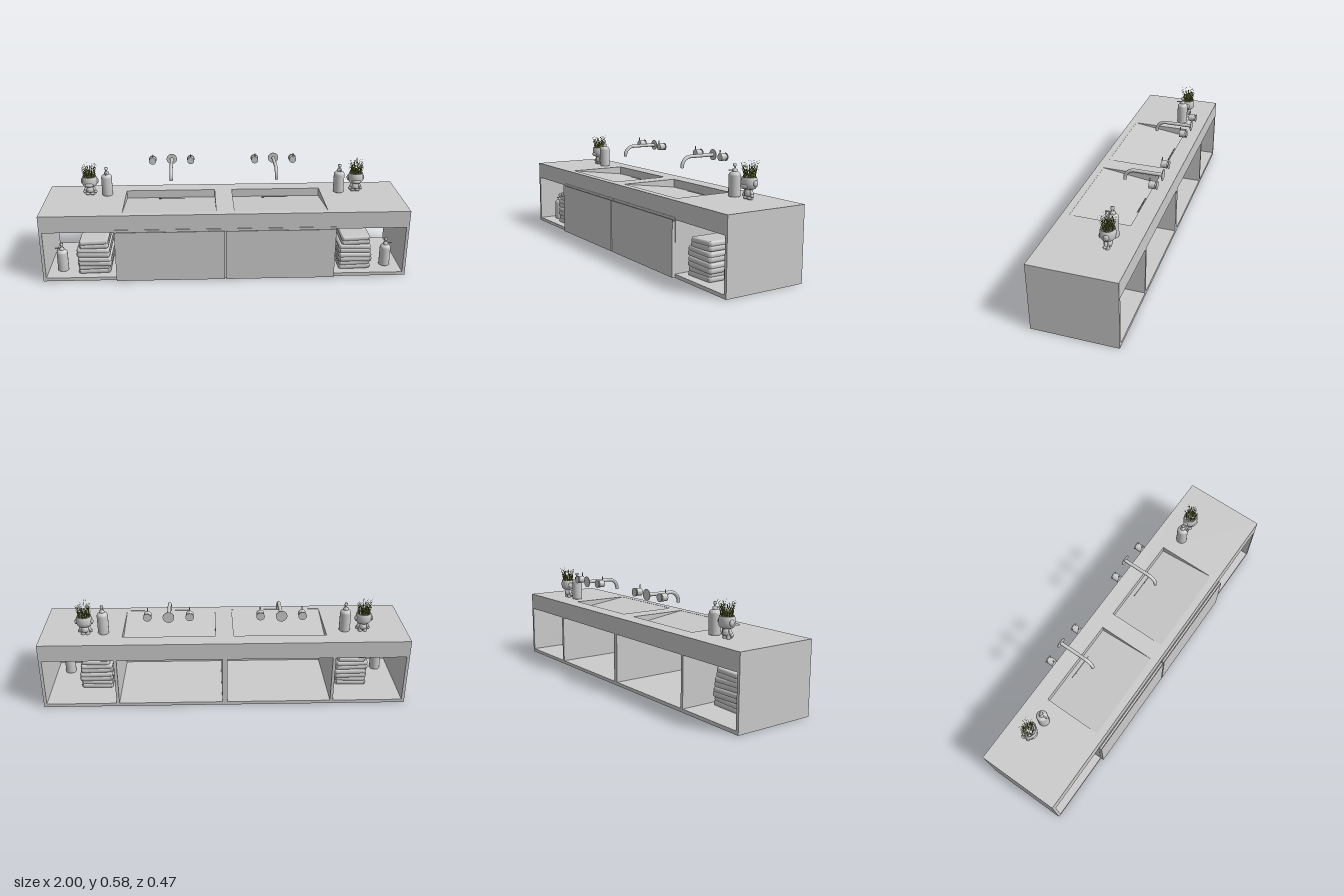
import * as THREE from 'three';
import { mergeGeometries } from 'three/addons/utils/BufferGeometryUtils.js';
import { RoundedBoxGeometry } from 'three/addons/geometries/RoundedBoxGeometry.js';

const grey = new THREE.MeshStandardMaterial({ color: 0xcccccc });
const greyDouble = new THREE.MeshStandardMaterial({ color: 0xcccccc, side: THREE.DoubleSide });
const green = new THREE.MeshStandardMaterial({ color: 0x76803a, side: THREE.DoubleSide });
const dark = new THREE.MeshStandardMaterial({ color: 0x555555 });

function add(parent, name, geometry, x = 0, y = 0, z = 0, material = grey) {
  const mesh = new THREE.Mesh(geometry, material);
  mesh.name = name;
  mesh.position.set(x, y, z);
  parent.add(mesh);
  return mesh;
}

// Box given by its min and max corners
function span(parent, name, x0, x1, y0, y1, z0, z1, material) {
  return add(parent, name, new THREE.BoxGeometry(x1 - x0, y1 - y0, z1 - z0),
    (x0 + x1) / 2, (y0 + y1) / 2, (z0 + z1) / 2, material);
}

const points = (list) => list.map(([x, y]) => new THREE.Vector2(x, y));
const lathe = (list, segments = 28) => new THREE.LatheGeometry(points(list), segments);

// Side profile (z, y) extruded along x, centred on x = 0
function alongX(profile, width) {
  const g = new THREE.ExtrudeGeometry(new THREE.Shape(points(profile)), { depth: width, bevelEnabled: false });
  return g.rotateY(-Math.PI / 2).translate(width / 2, 0, 0);
}

// Cylinder whose axis runs along z
const zCylinder = (r, length) => new THREE.CylinderGeometry(r, r, length, 28).rotateX(Math.PI / 2);

const BACK = -0.235, FRONT = 0.22, TOP = 0.385;
const BASIN = { x: 0.302, w: 0.505, back: -0.145, front: 0.18, floor: 0.34 };

function createCabinet() {
  const g = new THREE.Group();
  g.name = 'cabinet';
  span(g, 'bottomPanel', -1, 1, 0.001, 0.02, BACK, FRONT);
  span(g, 'middleDivider', -0.014, 0.014, 0.02, 0.29, BACK, FRONT);
  for (const s of [-1, 1]) {
    add(g, 'sidePanel', new THREE.BoxGeometry(0.016, 0.27, FRONT - BACK), s * 0.992, 0.155, (FRONT + BACK) / 2);
    add(g, 'divider', new THREE.BoxGeometry(0.016, 0.27, FRONT - BACK), s * 0.592, 0.155, (FRONT + BACK) / 2);
    // Drawer front with a finger groove along its top edge
    add(g, 'drawerFront', alongX([[0.22, 0.004], [0.237, 0.004], [0.237, 0.293], [0.233, 0.293],
      [0.233, 0.283], [0.223, 0.283], [0.223, 0.302], [0.22, 0.302]], 0.595), s * 0.301);
  }
  return g;
}

function createCountertop() {
  const g = new THREE.Group();
  g.name = 'countertop';
  const rect = (x0, x1, y0, y1) => points([[x0, y0], [x1, y0], [x1, y1], [x0, y1]]);
  const shape = new THREE.Shape(rect(-1, 1, -FRONT, -BACK));
  for (const s of [-1, 1]) {
    const c = s * BASIN.x, h = BASIN.w / 2;
    shape.holes.push(new THREE.Path(rect(c - h, c + h, -BASIN.front, -BASIN.back)));
    // Floor slopes down from the front rim to the drain slot at the back
    add(g, 'basinFloor', alongX([[BASIN.back, 0.295], [BASIN.front, 0.295],
      [BASIN.front, TOP - 0.001], [BASIN.back, BASIN.floor]], BASIN.w), c);
    const slot = add(g, 'drainSlot', new THREE.BoxGeometry(0.15, 0.002, 0.006), c - s * 0.005, 0.3435, -0.12, dark);
    slot.rotation.x = Math.atan2(TOP - BASIN.floor, BASIN.front - BASIN.back);
  }
  const slab = new THREE.ExtrudeGeometry(shape, { depth: TOP - 0.295, bevelEnabled: false });
  add(g, 'topSlab', slab.rotateX(-Math.PI / 2), 0, 0.295, 0);
  span(g, 'topUnderside', -1, 1, 0.29, 0.295, BACK, FRONT);
  return g;
}

function createFaucet() {
  const g = new THREE.Group();
  g.name = 'faucet';
  // Spout: straight run from the wall, then a quarter bend down
  const path = new THREE.CurvePath();
  const v = (y, z) => new THREE.Vector3(0, y, z);
  path.add(new THREE.LineCurve3(v(0, BACK), v(0, -0.083)));
  path.add(new THREE.CubicBezierCurve3(v(0, -0.083), v(0, -0.054), v(-0.024, -0.03), v(-0.05, -0.03)));
  path.add(new THREE.LineCurve3(v(-0.05, -0.03), v(-0.058, -0.03)));
  add(g, 'spout', new THREE.TubeGeometry(path, 60, 0.0095, 20), 0, 0, 0, greyDouble);
  add(g, 'wallPlate', zCylinder(0.03, 0.003), 0, 0, BACK + 0.0015);
  for (const s of [-1, 1]) {
    const x = s * 0.11;
    add(g, 'handlePlate', zCylinder(0.022, 0.002), x, 0, BACK + 0.001);
    add(g, 'handleStem', zCylinder(0.015, 0.012), x, 0, BACK + 0.007);
    add(g, 'handleKnob', zCylinder(0.02, 0.032), x, 0, -0.21);
    add(g, 'handleLever', new THREE.CylinderGeometry(0.0028, 0.0028, 0.035, 12), x, 0.021, -0.197);
  }
  return g;
}

// Soap bottle with a pump, standing on y = 0
function createBottle() {
  const g = new THREE.Group();
  g.name = 'soapBottle';
  add(g, 'bottleBody', lathe([[0, 0], [0.027, 0], [0.03, 0.003], [0.03, 0.105], [0.028, 0.114],
    [0.021, 0.121], [0.012, 0.125], [0.012, 0.128]]));
  add(g, 'pumpCollar', lathe([[0.013, 0.124], [0.013, 0.136], [0.005, 0.138], [0.005, 0.15],
    [0.009, 0.151], [0.009, 0.162], [0, 0.163]], 20));
  add(g, 'pumpNozzle', new THREE.BoxGeometry(0.007, 0.005, 0.034), 0, 0.133, 0.02);
  return g;
}

// Stack of four soft folded towels
function createTowels() {
  const g = new THREE.Group();
  g.name = 'towelStack';
  const sizes = [[0.205, 0.28], [0.215, 0.285], [0.21, 0.28], [0.185, 0.265]];
  sizes.forEach(([w, d], i) => {
    const geo = mergeGeometries([0, 1].map((k) =>
      new RoundedBoxGeometry(w - k * 0.008, 0.029, d - k * 0.01, 6, 0.0142).translate(0, 0.014 + k * 0.022, 0)));
    const p = geo.attributes.position;
    for (let n = 0; n < p.count; n++) {
      const x = p.getX(n), y = p.getY(n), z = p.getZ(n);
      const corner = 1 - 0.16 * (2 * x / w) ** 2 * (2 * z / d) ** 2;
      p.setXYZ(n, x * corner, y + 0.003 * Math.sin(x * 24 + i * 2) + 0.002 * Math.cos(z * 20 + i), z * corner);
    }
    geo.computeVertexNormals();
    add(g, 'foldedTowel', geo, 0.003 * Math.sin(i * 2.3), i * 0.0475, 0);
  });
  return g;
}

// Pot shaped like a big-headed figure, with grass growing from the open head
function createPlanter() {
  const g = new THREE.Group();
  g.name = 'figurePlanter';
  const ball = (name, sx, sy, sz, x, y, z) => {
    const m = add(g, name, new THREE.SphereGeometry(1, 22, 16), x, y, z);
    m.scale.set(sx, sy, sz);
    return m;
  };
  add(g, 'headPot', lathe([[0, 0.046], [0.02, 0.048], [0.034, 0.054], [0.041, 0.064], [0.043, 0.078],
    [0.042, 0.094], [0.039, 0.109], [0.036, 0.11], [0.035, 0.103], [0, 0.103]], 32)).scale.z = 0.92;
  ball('muzzle', 0.024, 0.014, 0.014, 0, 0.066, 0.03);
  add(g, 'torso', lathe([[0, 0.014], [0.016, 0.015], [0.022, 0.022], [0.02, 0.036], [0.014, 0.05], [0, 0.052]]));
  for (const s of [-1, 1]) {
    ball('ear', 0.008, 0.016, 0.014, s * 0.042, 0.08, -0.006);
    ball('arm', 0.0075, 0.02, 0.009, s * 0.025, 0.032, 0.002).rotation.z = s * 0.35;
    ball('hand', 0.009, 0.009, 0.01, s * 0.031, 0.019, 0.005);
    add(g, 'leg', new THREE.CylinderGeometry(0.01, 0.012, 0.022, 18), s * 0.0125, 0.011, 0);
    ball('foot', 0.012, 0.007, 0.016, s * 0.0135, 0.007, 0.006);
  }
  // Grass blades: thin bent cones fanning outward
  let seed = 7;
  const rand = () => (seed = (seed * 16807) % 2147483647) / 2147483647;
  const blades = [];
  for (let i = 0; i < 110; i++) {
    const a = rand() * Math.PI * 2, r = 0.032 * Math.sqrt(rand());
    const h = 0.045 + 0.05 * rand(), lean = 0.004 + 0.02 * rand();
    const blade = new THREE.ConeGeometry(0.0014, h, 4, 4, true).translate(0, h / 2, 0);
    const p = blade.attributes.position;
    for (let n = 0; n < p.count; n++) p.setX(n, p.getX(n) + lean * (p.getY(n) / h) ** 2);
    blade.computeVertexNormals();
    blades.push(blade.rotateY(-a + (rand() - 0.5)).translate(r * Math.cos(a), 0.1, r * Math.sin(a) * 0.92));
  }
  add(g, 'grass', mergeGeometries(blades), 0, 0, 0, green);
  return g;
}

export function createModel() {
  const model = new THREE.Group();
  model.name = 'doubleVanity';
  model.add(createCabinet(), createCountertop());
  const place = (object, x, y, z, turn = 0) => {
    object.position.set(x, y, z);
    object.rotation.y = turn;
    model.add(object);
  };
  for (const s of [-1, 1]) {
    place(createFaucet(), s * 0.295, 0.545, 0);
    place(createBottle(), s * 0.66, TOP, -0.09);
    place(createBottle(), s * 0.905, 0.02, 0.12, s * Math.PI / 2);
    place(createTowels(), s * 0.725, 0.02, 0.05);
    place(createPlanter(), s * 0.758, TOP, -0.1);
  }
  return model;
}
